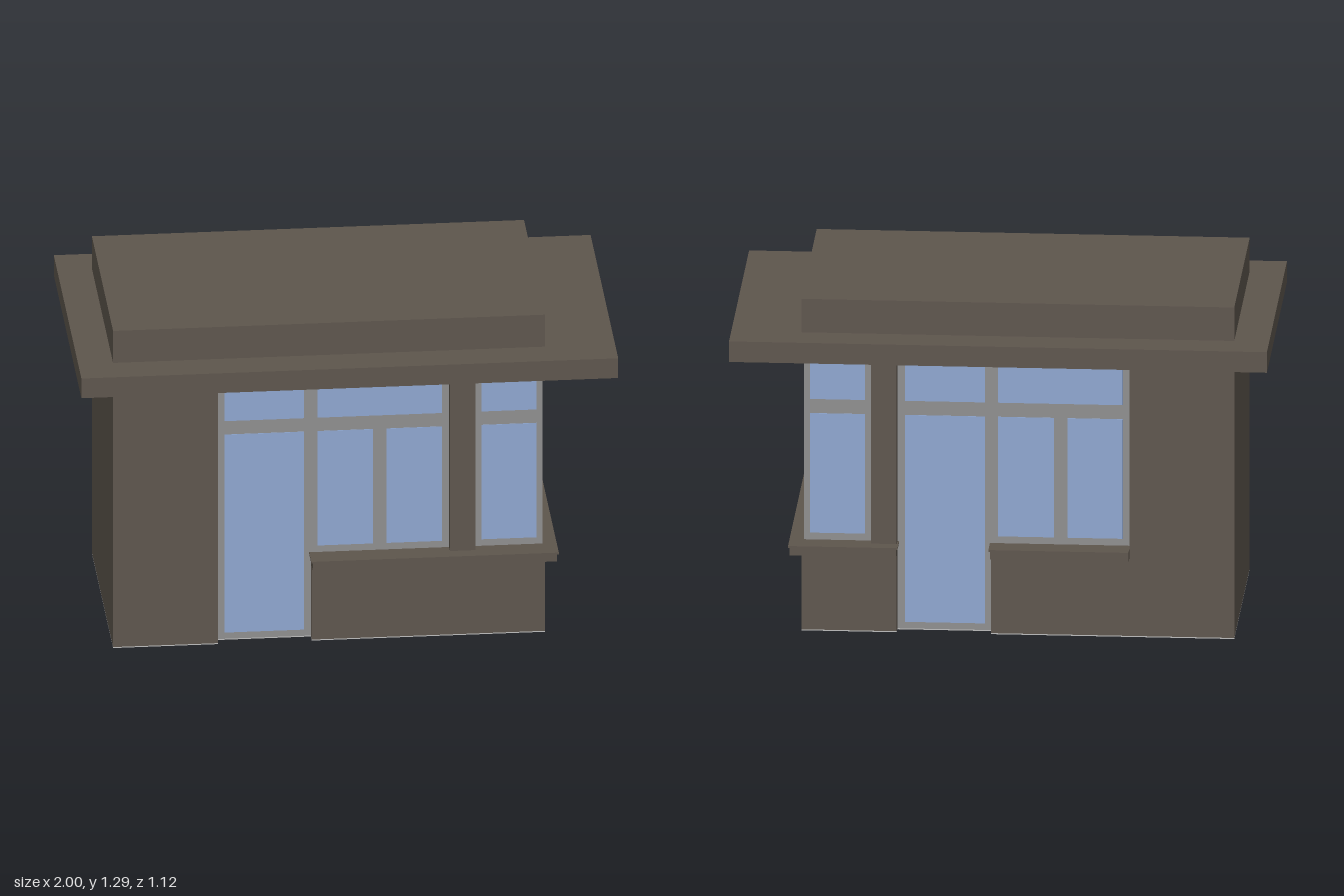
import * as THREE from 'three';

export function createModel() {
  const model = new THREE.Group();
  model.name = 'kiosk';
  const mat = (name, color) => {
    const m = new THREE.MeshStandardMaterial({ color });
    m.name = name;
    return m;
  };
  const brown = mat('brown', 0x5e564d);
  const grey = mat('frame grey', 0x8f8f8f);
  const blue = mat('glass blue', 0x8fa7d0);
  const pale = mat('pale grey', 0xbebebe);

  const add = (name, geometry, material, parent = model) => {
    const mesh = new THREE.Mesh(geometry, material);
    mesh.name = name;
    parent.add(mesh);
    return mesh;
  };
  // box given by its limits on each axis
  const block = (name, material, x0, x1, y0, y1, z0, z1, parent) =>
    add(name, new THREE.BoxGeometry(x1 - x0, y1 - y0, z1 - z0), material, parent)
      .position.set((x0 + x1) / 2, (y0 + y1) / 2, (z0 + z1) / 2);
  // plan outline of [x, z] points raised from y0 to y1
  const slab = (name, material, points, y0, y1) => {
    const shape = new THREE.Shape(points.map(([x, z]) => new THREE.Vector2(x, -z)));
    const g = new THREE.ExtrudeGeometry(shape, { depth: y1 - y0, bevelEnabled: false });
    g.rotateX(-Math.PI / 2);
    add(name, g, material).position.y = y0;
  };

  // floor with a notch at each door
  slab('floor', pale, [
    [-0.87, 0.43], [-0.48, 0.43], [-0.48, 0.393], [-0.13, 0.393], [-0.13, 0.43], [0.74, 0.43],
    [0.74, -0.43], [0.385, -0.43], [0.385, -0.393], [0.035, -0.393], [0.035, -0.43], [-0.87, -0.43],
  ], 0, 0.004);

  // walls and pillars
  block('solidWall', brown, -0.87, -0.48, 0.004, 1.08, -0.43, 0.43);
  block('lowWallEnd', brown, 0.385, 0.74, 0.004, 0.305, -0.43, 0.43);
  block('lowWallFront', brown, -0.13, 0.385, 0.004, 0.305, 0.35, 0.43);
  block('lowWallBack', brown, -0.48, 0.035, 0.004, 0.305, -0.43, -0.35);
  for (const s of [1, -1]) {
    block('pillar', brown, 0.385, 0.48, 0.3, 1.08, s > 0 ? 0.35 : -0.43, s > 0 ? 0.43 : -0.35);
  }

  // sills: thick course with a thin lip on top
  const wrap = (e) => [
    [-0.13 - e, 0.475 + e], [0.78 + e, 0.475 + e], [0.78 + e, -0.475 - e], [0.385 - e, -0.475 - e],
    [0.385 - e, -0.36], [0.6, -0.36], [0.6, 0.36], [-0.13 - e, 0.36],
  ];
  slab('cornerSill', [pale, brown], wrap(0), 0.305, 0.336);
  slab('cornerSillLip', brown, wrap(0.006), 0.336, 0.343);
  block('backSill', brown, -0.48, 0.035, 0.305, 0.336, -0.475, -0.36);
  block('backSillLip', brown, -0.48, 0.041, 0.336, 0.343, -0.481, -0.36);

  // roof
  block('eaves', brown, -1, 1, 1.08, 1.16, -0.56, 0.56);
  block('roofBlock', brown, -0.87, 0.74, 1.16, 1.29, -0.43, 0.43);

  // window framing core
  block('windowFrame', grey, -0.48, 0.733, 0.004, 1.08, -0.393, 0.393);

  // panes as [from, to, bottom, top]
  const low = [0.37, 0.835], high = [0.89, 1.05];
  const longSide = [
    [-0.452, -0.155, 0.03, 0.835], [-0.452, -0.155, ...high],
    [-0.105, 0.358, ...high], [-0.105, 0.102, ...low], [0.152, 0.358, ...low],
  ];
  const corner = [[0.505, 0.71, ...low], [0.505, 0.71, ...high]];
  const end = [
    [0.16, 0.358, ...low], [-0.098, 0.108, ...low], [-0.358, -0.148, ...low],
    [0.16, 0.358, ...high], [-0.358, 0.108, ...high],
  ];
  const glass = new THREE.Group();
  glass.name = 'glass';
  model.add(glass);
  for (const [a, b, y0, y1] of [...longSide, ...corner]) {
    block('frontPane', blue, a, b, y0, y1, 0.39, 0.395, glass);
  }
  // the door and windows swap ends on the back
  const back = longSide.map(([a, b, y0, y1]) => [-0.095 - b, -0.095 - a, y0, y1]);
  for (const [a, b, y0, y1] of [...back, ...corner]) {
    block('backPane', blue, a, b, y0, y1, -0.395, -0.39, glass);
  }
  for (const [a, b, y0, y1] of end) {
    block('endPane', blue, 0.73, 0.735, y0, y1, a, b, glass);
  }
  return model;
}
